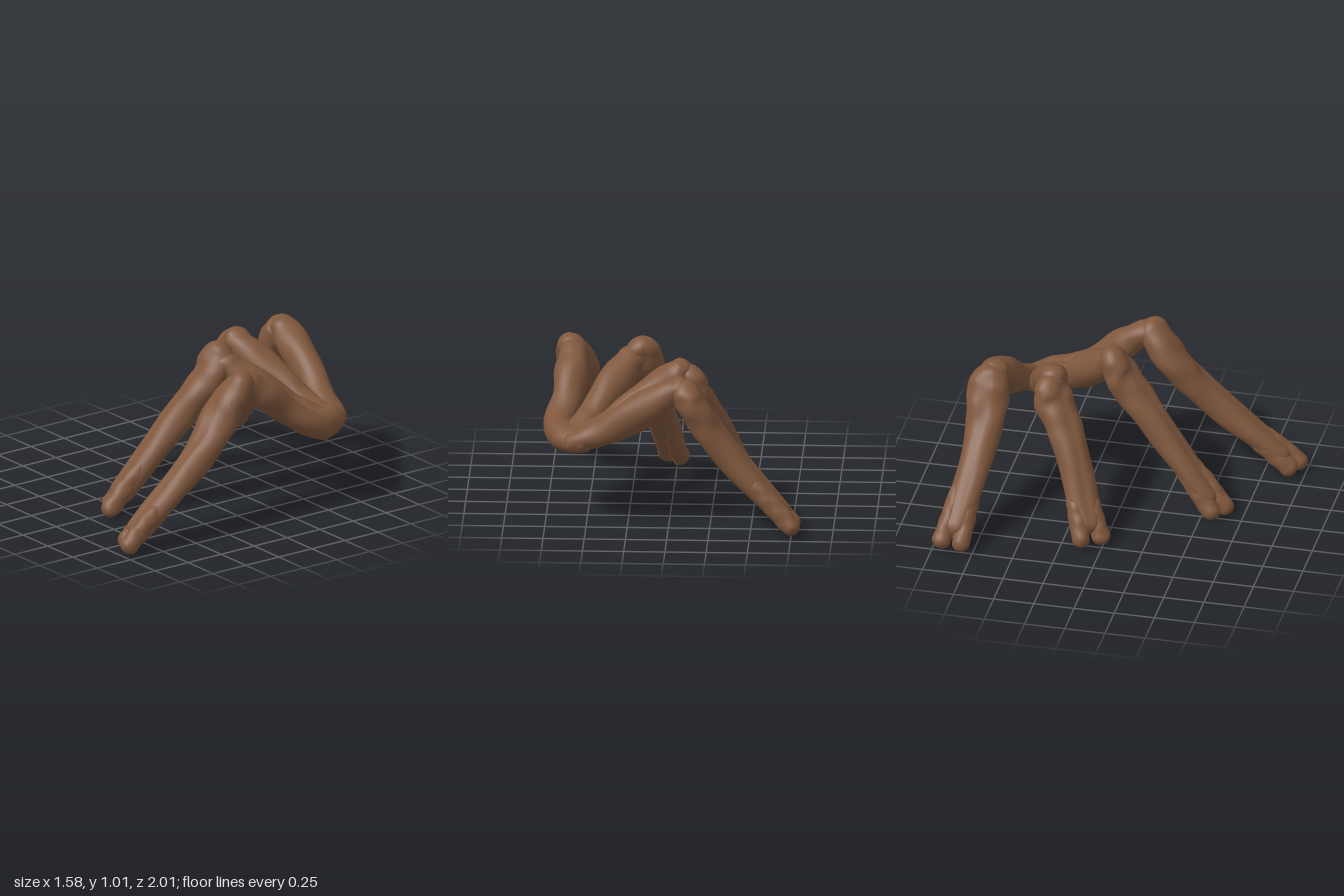
import * as THREE from 'three';

const bark = new THREE.MeshStandardMaterial({ color: 0x7f573d });
bark.name = 'brown';

const vec = p => new THREE.Vector3(...p);

// Lofted limb along points, with half widths and half thicknesses; ends are rounded.
function limb(name, points, widths, depths, { groove = 0, bump = 0.05, seed = 0 } = {}) {
  const N = 44, M = 28;
  const path = new THREE.CatmullRomCurve3(points);
  const size = new THREE.CatmullRomCurve3(points.map((p, i) => new THREE.Vector3(widths[i], depths[i], 0)));
  const first = path.getPoint(0), last = path.getPoint(1);
  const pos = [], idx = [];
  for (let i = 0; i <= N; i++) {
    const t = (1 - Math.cos(Math.PI * i / N)) / 2;
    const p = path.getPoint(t), tan = path.getTangent(t), r = size.getPoint(t);
    const side = new THREE.Vector3(tan.z, 0, -tan.x).normalize();
    const up = new THREE.Vector3().crossVectors(tan, side);
    const d = Math.min(1, Math.min(p.distanceTo(first), p.distanceTo(last)) / (r.y * 0.9));
    const cap = Math.max(0.002, Math.sqrt(1 - (1 - d) ** 2));
    for (let j = 0; j < M; j++) {
      const a = j / M * Math.PI * 2, c = Math.cos(a), s = Math.sin(a);
      // lengthwise groove on top and underside, plus gentle knobbly swelling
      const pinch = 1 - groove * (0.3 + 0.7 * t) * Math.exp(-((c / 0.2) ** 2));
      const knob = 1 + bump * (Math.sin(a * 2 + t * 9 + seed) * Math.sin(t * 17 + seed * 2)
        + 0.5 * Math.sin(a * 3 - t * 21 + seed * 3));
      const k = cap * knob;
      const v = p.clone().addScaledVector(side, c * r.x * k).addScaledVector(up, s * r.y * k * pinch);
      pos.push(v.x, v.y, v.z);
      if (i < N) {
        const q = i * M + j, n = i * M + (j + 1) % M;
        idx.push(q, n, q + M, n, n + M, q + M);
      }
    }
  }
  const g = new THREE.BufferGeometry();
  g.setAttribute('position', new THREE.Float32BufferAttribute(pos, 3));
  g.setIndex(idx);
  g.computeVertexNormals();
  const mesh = new THREE.Mesh(g, bark);
  mesh.name = name;
  return mesh;
}

// One leg: upper runs from knee to hub, lower from knee to mid shin, toes are the two tips.
function makeLeg(name, seed, upper, lower, toes) {
  const g = new THREE.Group();
  g.name = name;

  const up = upper.map(vec), end = up.length - 1;
  const taper = (first, middle, last) => up.map((p, i) => i === 0 ? first : i === end ? last : middle);
  g.add(limb('upperSegment', up, taper(0.075, 0.092, 0.1), taper(0.065, 0.082, 0.065), { seed }));

  // the ankle lies between the shin and the point midway between the toes
  const shin = lower.map(vec), tips = toes.map(vec);
  const mid = tips[0].clone().lerp(tips[1], 0.5);
  const ankle = shin[2].clone().lerp(mid, 0.88);
  g.add(limb('lowerSegment', [...shin, ankle], [0.08, 0.13, 0.11, 0.088], [0.07, 0.097, 0.094, 0.065],
    { seed: seed * 2, groove: 0.16, bump: 0.05 }));

  // toes start inside the lower segment and spread apart
  tips.forEach((tip, i) => {
    const spread = tip.clone().sub(mid).multiplyScalar(0.8);
    const root = f => shin[2].clone().lerp(ankle, f).add(spread);
    g.add(limb(i ? 'innerToe' : 'outerToe', [root(0.5), root(0.8), tip],
      [0.04, 0.055, 0.055], [0.04, 0.062, 0.056], { seed: seed + i * 3 }));
  });
  return g;
}

export function createModel() {
  const model = new THREE.Group();
  model.name = 'branchingLegs';
  const hub = [0.63, 0.5, -0.64];
  model.add(
    makeLeg('frontLeg', 1,
      [[0.61, 0.93, 0.07], [0.61, 0.84, -0.06], [0.635, 0.67, -0.26], [0.68, 0.55, -0.43],
        [0.62, 0.52, -0.6], [0.45, 0.54, -0.71]],
      [[0.635, 0.97, 0.02], [0.59, 0.75, 0.17], [0.62, 0.52, 0.37]],
      [[0.59, 0.035, 0.95], [0.68, 0.035, 0.995]]),
    makeLeg('secondLeg', 2,
      [[0.19, 0.93, -0.06], [0.28, 0.85, -0.14], [0.48, 0.61, -0.42], hub],
      [[0.175, 1.01, -0.12], [0.185, 0.83, -0.04], [0.14, 0.62, 0.13]],
      [[-0.03, 0.02, 0.6], [0.055, 0.02, 0.67]]),
    makeLeg('thirdLeg', 3,
      [[-0.12, 0.94, -0.4], [-0.01, 0.865, -0.42], [0.35, 0.61, -0.56], hub],
      [[-0.1, 0.94, -0.43], [-0.12, 0.78, -0.39], [-0.23, 0.57, -0.27]],
      [[-0.555, 0.02, -0.11], [-0.48, 0.015, 0.005]]),
    makeLeg('backLeg', 4,
      [[-0.13, 0.93, -0.77], [-0.02, 0.87, -0.77], [0.38, 0.605, -0.71], hub],
      [[-0.07, 0.95, -0.79], [-0.14, 0.81, -0.79], [-0.28, 0.59, -0.79]],
      [[-0.785, 0.04, -0.95], [-0.785, 0.03, -0.825]]),
  );
  return model;
}
